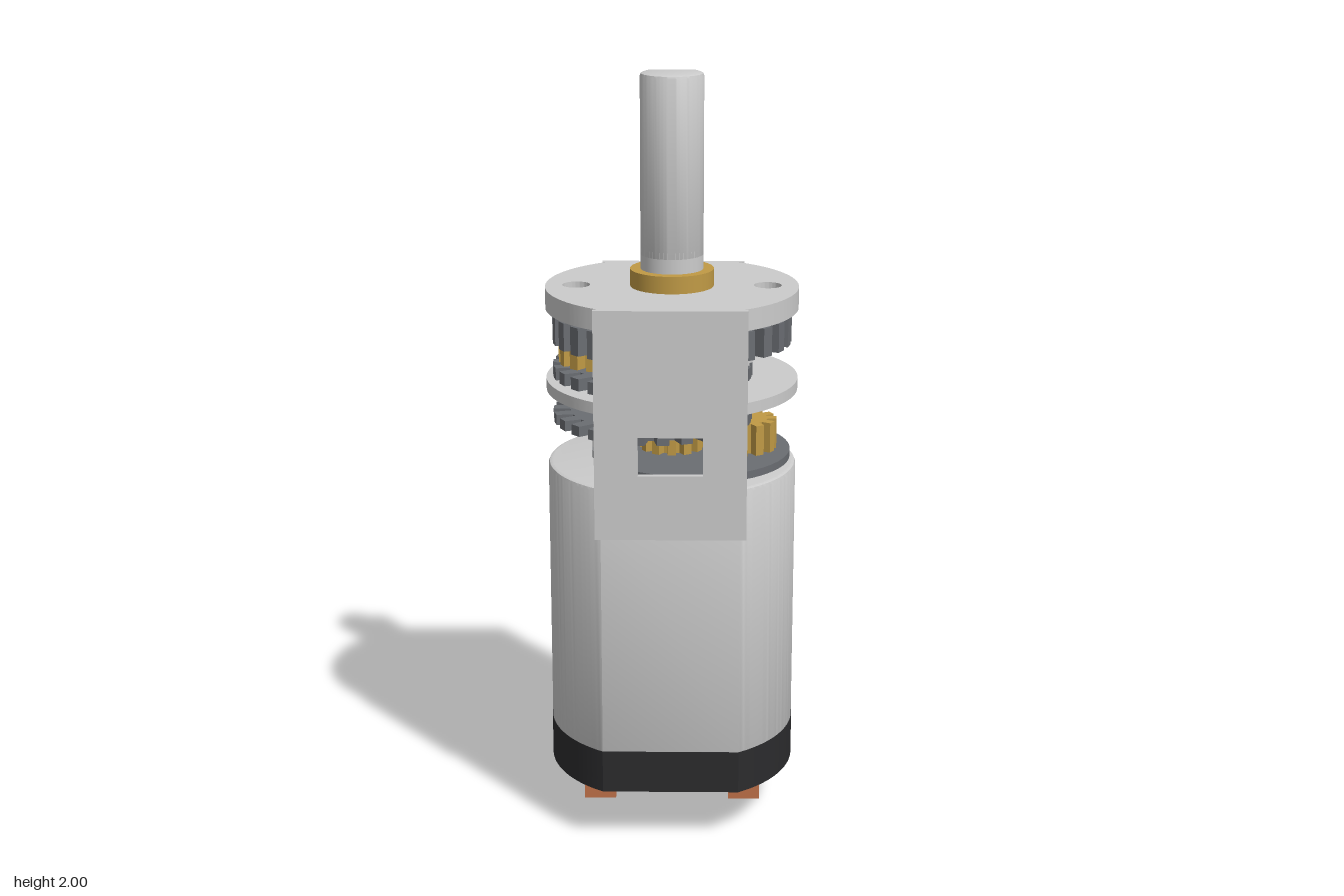
import * as THREE from 'three';
import { toCreasedNormals } from 'three/addons/utils/BufferGeometryUtils.js';

const mat = (color) => new THREE.MeshStandardMaterial({ color });
const STEEL = mat(0xcccccc), DARK = mat(0x6a6d72), BLACK = mat(0x2b2b2d);
const BRASS = mat(0xc09a45), COPPER = mat(0xc07048), RED = mat(0xaa2222);

// Disc outline with two parallel flats at z = +-flat
function flattedDisc(r, flat, target = new THREE.Shape()) {
  const a = Math.asin(flat / r);
  target.absarc(0, 0, r, -a, a);
  target.absarc(0, 0, r, Math.PI - a, Math.PI + a);
  target.closePath();
  return target;
}

function circleHole(x, y, r) {
  return new THREE.Path().absarc(x, y, r, 0, Math.PI * 2, true);
}

// Gear outline with a tooth centred on the x axis
function gearShape(outer, root, teeth) {
  const shape = new THREE.Shape();
  const pitch = (Math.PI * 2) / teeth;
  for (let i = 0; i < teeth; i++) {
    [[-0.36, root], [-0.25, outer], [0.25, outer], [0.36, root]].forEach(([f, r], k) => {
      const a = (i + f) * pitch;
      const x = Math.cos(a) * r, y = Math.sin(a) * r;
      if (i === 0 && k === 0) shape.moveTo(x, y);
      else shape.lineTo(x, y);
    });
  }
  shape.closePath();
  return shape;
}

export function createModel() {
  const model = new THREE.Group();
  model.name = 'gearMotor';

  const add = (name, geometry, material, x = 0, y = 0, z = 0) => {
    const mesh = new THREE.Mesh(geometry, material);
    mesh.name = name;
    mesh.position.set(x, y, z);
    model.add(mesh);
    return mesh;
  };
  // Vertical prism between two heights, with an optional bevel inside the outline
  const prism = (name, shape, y0, y1, material, x = 0, bevel = 0) => {
    const geometry = new THREE.ExtrudeGeometry(shape, {
      depth: y1 - y0 - 2 * bevel, curveSegments: 40, bevelEnabled: bevel > 0,
      bevelSize: bevel, bevelThickness: bevel, bevelOffset: -bevel, bevelSegments: 2,
    });
    geometry.translate(0, 0, bevel);
    geometry.rotateX(-Math.PI / 2);
    return add(name, toCreasedNormals(geometry, 0.5), material, x, y0, 0);
  };
  const rod = (name, r, y0, y1, material, x = 0, z = 0) =>
    add(name, new THREE.CylinderGeometry(r, r, y1 - y0, 48), material, x, (y0 + y1) / 2, z);

  // Motor can and end cap with a recessed underside
  prism('motorCan', flattedDisc(0.325, 0.272), 0.25, 0.99, STEEL, 0, 0.01);
  prism('endCap', flattedDisc(0.326, 0.273), 0.18, 0.265, BLACK);
  const rim = flattedDisc(0.326, 0.273);
  rim.holes.push(flattedDisc(0.27, 0.19, new THREE.Path()));
  prism('endCapRim', rim, 0.15, 0.18, BLACK);
  rod('rearBearing', 0.085, 0.12, 0.185, BLACK);
  rod('polarityMark', 0.025, 0.145, 0.185, RED, 0.17, -0.12);

  // Copper terminals
  for (const side of [-1, 1]) {
    const tab = new THREE.Shape();
    tab.moveTo(-0.043, 0).lineTo(0.043, 0).lineTo(0.043, 0.19).lineTo(-0.043, 0.19).closePath();
    tab.holes.push(circleHole(0, 0.06, 0.022));
    const geometry = new THREE.ExtrudeGeometry(tab, { depth: 0.014, bevelEnabled: false });
    add('terminal', geometry, COPPER, side * 0.198, 0, -0.007);
  }

  // Gearbox plates
  const topPlate = flattedDisc(0.327, 0.276);
  for (const side of [-1, 1]) topPlate.holes.push(circleHole(side * 0.247, 0, 0.036));
  prism('topPlate', topPlate, 1.4, 1.455, STEEL);
  prism('middlePlate', flattedDisc(0.327, 0.275), 1.185, 1.215, STEEL);

  // Front and back covers with a window
  for (const side of [-1, 1]) {
    const cover = new THREE.Shape();
    cover.moveTo(-0.192, 0.86).lineTo(0.192, 0.86).lineTo(0.192, 1.455).lineTo(-0.192, 1.455).closePath();
    const win = new THREE.Path();
    win.moveTo(-0.082, 1.03).lineTo(-0.082, 1.13).lineTo(0.082, 1.13).lineTo(0.082, 1.03).closePath();
    cover.holes.push(win);
    const geometry = new THREE.ExtrudeGeometry(cover, { depth: 0.015, bevelEnabled: false });
    add(side > 0 ? 'frontCover' : 'backCover', geometry, STEEL, 0, 0, side > 0 ? 0.275 : -0.29);
  }

  // Gear train, from the motor up to the output
  const wheel = gearShape(0.26, 0.217, 26);
  prism('motorPinion', gearShape(0.085, 0.062, 12), 0.985, 1.06, BRASS);
  rod('firstDisc', 0.26, 1.0, 1.02, DARK, 0.05);
  prism('firstPinion', gearShape(0.09, 0.066, 12), 1.02, 1.1, BRASS, 0.185);
  prism('secondWheel', wheel, 1.1, 1.127, DARK, -0.05);
  prism('secondPinion', gearShape(0.115, 0.085, 14), 1.127, 1.177, BRASS);
  prism('thirdWheel', wheel, 1.22, 1.252, DARK, -0.05);
  prism('thirdPinion', gearShape(0.115, 0.085, 14), 1.252, 1.31, BRASS, -0.18);
  prism('outputWheel', wheel, 1.31, 1.385, DARK, 0.05);
  prism('idlerWheel', wheel, 1.311, 1.384, DARK, -0.05);
  for (const side of [-1, 1]) rod('gearPin', 0.02, 0.985, 1.4, STEEL, side * 0.19);
  rod('outputHub', 0.075, 1.37, 1.4, STEEL);

  // Brass bushing and output shaft with a flat at the back
  rod('bushing', 0.108, 1.45, 1.5, BRASS);
  rod('shaftBase', 0.081, 1.4, 1.555, STEEL);
  const a = Math.asin(0.055 / 0.081);
  const dShape = new THREE.Shape().absarc(0, 0, 0.081, Math.PI - a, Math.PI * 2 + a);
  dShape.closePath();
  prism('outputShaft', dShape, 1.53, 2, STEEL, 0, 0.008);

  return model;
}
